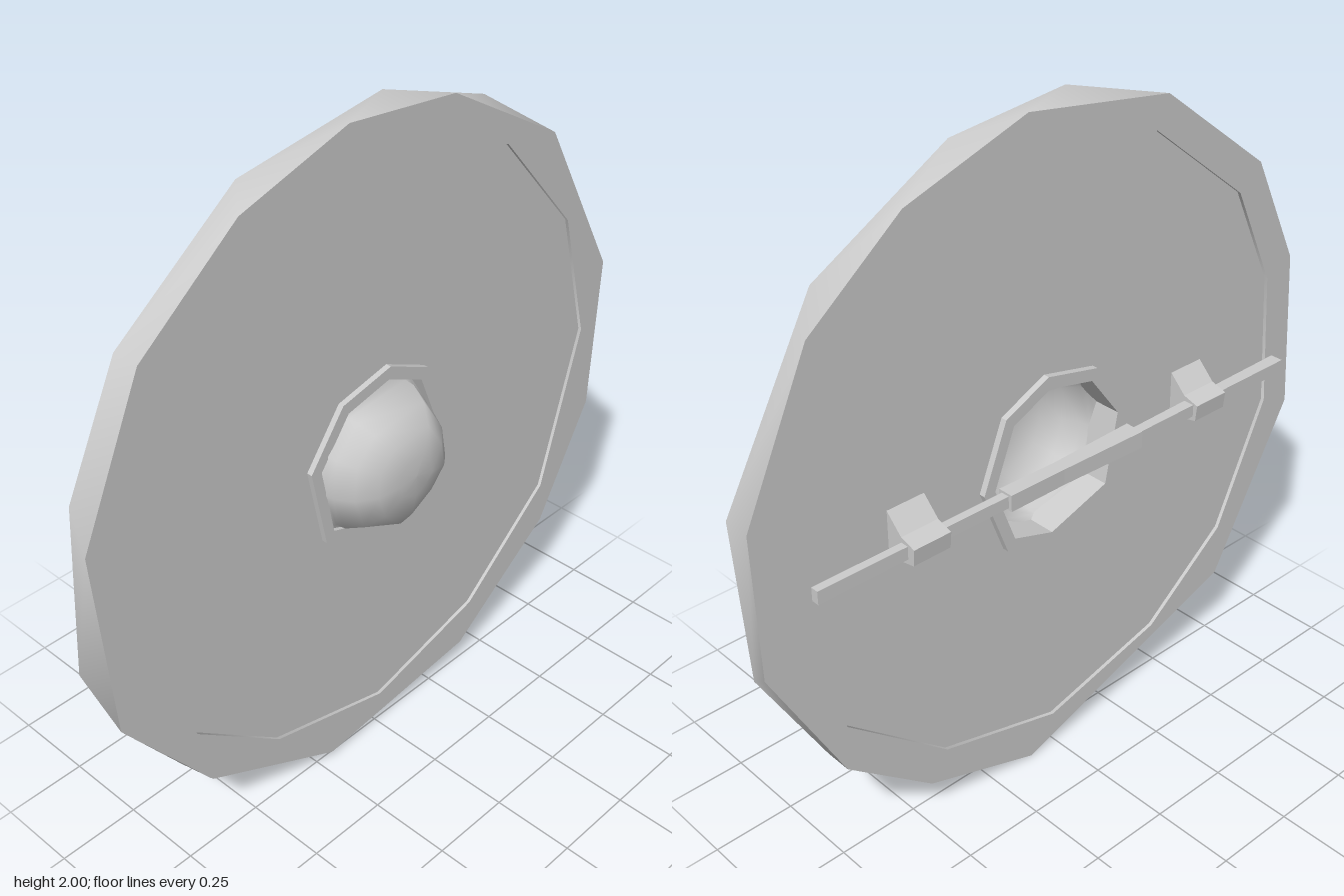
import * as THREE from 'three';

const steel = new THREE.MeshStandardMaterial({ color: 0xcccccc, side: THREE.DoubleSide });
steel.name = 'plain grey';

// Outlines run clockwise seen from the front, as [x, y]
const rimFront = [[-0.98, 1.21], [-0.78, 1.64], [-0.46, 1.89], [-0.1, 2], [0.28, 1.96], [0.7, 1.72], [0.985, 1.21],
  [0.96, 0.72], [0.76, 0.36], [0.38, 0.08], [-0.2, 0.015], [-0.66, 0.25], [-0.94, 0.63]];
const rimBack = [[-0.95, 1.3], [-0.78, 1.64], [-0.39, 1.93], [0.1, 2], [0.49, 1.87], [0.78, 1.64], [0.985, 1.21],
  [0.98, 0.78], [0.76, 0.36], [0.48, 0.13], [0.1, 0], [-0.7, 0.28], [-0.985, 0.8]];
const panelEdge = [[-0.35, 1.84], [0.08, 1.9], [0.5, 1.75], [0.79, 1.42], [0.9, 1.01], [0.75, 0.5], [0.42, 0.22],
  [0.01, 0.11], [-0.41, 0.22], [-0.7, 0.45], [-0.88, 0.84], [-0.85, 1.26], [-0.7, 1.57]];
const collarEdge = [[-0.14, 1.23], [0.04, 1.27], [0.19, 1.2], [0.27, 1], [0.19, 0.79], [0.03, 0.74], [-0.21, 0.82], [-0.26, 1.07]];
const domeEdge = [[-0.12, 1.18], [0.1, 1.2], [0.19, 1.06], [0.21, 0.94], [0.13, 0.85], [0, 0.78], [-0.17, 0.86], [-0.21, 0.98], [-0.2, 1.1]];

const scaled = (pts, s) => pts.map(([x, y]) => [x * s, 1 + (y - 1) * s]);
const at = (pts, z) => pts.map(([x, y]) => [x, y, z]);

// Skin between matching closed rings of points
function loft(rings) {
  const n = rings[0].length, index = [];
  for (let r = 0; r < rings.length - 1; r++) {
    for (let i = 0; i < n; i++) {
      const a = r * n + i, b = r * n + (i + 1) % n;
      index.push(a, b, a + n, b, b + n, a + n);
    }
  }
  const g = new THREE.BufferGeometry();
  g.setAttribute('position', new THREE.Float32BufferAttribute(rings.flat(2), 3));
  g.setIndex(index);
  g.computeVertexNormals();
  return g;
}

function shapeOf(outer, hole) {
  const toV = (p) => p.map(([x, y]) => new THREE.Vector2(x, y));
  const s = new THREE.Shape(toV(outer));
  if (hole) s.holes.push(new THREE.Path(toV(hole)));
  return s;
}

function plate(outer, hole, back, front) {
  return new THREE.ExtrudeGeometry(shapeOf(outer, hole), { depth: front - back, bevelEnabled: false }).translate(0, 0, back);
}

export function createModel() {
  const group = new THREE.Group();
  const add = (name, geometry) => {
    const m = new THREE.Mesh(geometry, steel);
    m.name = name;
    group.add(m);
    return m;
  };

  // Rim: outer band, front and back faces, inner lip
  const zF = 0.015, zB = -0.068;
  add('rimBand', loft([at(rimFront, zF), at(rimBack, zB)]));
  add('rimFrontFace', new THREE.ShapeGeometry(shapeOf(rimFront, panelEdge)).translate(0, 0, zF));
  const backFace = new THREE.ShapeGeometry(shapeOf(rimBack.map(([x, y]) => [-x, y]), panelEdge.map(([x, y]) => [-x, y])));
  add('rimBackFace', backFace.rotateY(Math.PI).translate(0, 0, zB));
  add('rimInnerLip', loft([at(panelEdge, zB), at(panelEdge, zF)]));

  // Slightly recessed board
  add('board', plate(panelEdge, scaled(collarEdge, 0.95), -0.057, 0.005));

  // Central collar and hollow dome
  add('collar', plate(collarEdge, scaled(collarEdge, 0.86), -0.076, 0.022));
  const domeProfile = [[0, 0.157], [0.3, 0.155], [0.62, 0.14], [0.86, 0.1], [0.99, 0.05], [1, 0.02], [1.12, 0.004]];
  add('dome', loft(domeProfile.map(([s, z]) => at(scaled(domeEdge, s), z))));

  // Grip bar: tapered square sections along x as [x, y, z, half height, half depth]
  function bar(name, sections) {
    const rings = sections.map(([x, y, z, h, d]) => [[x, y + h, z + d], [x, y + h, z - d], [x, y - h, z - d], [x, y - h, z + d]]);
    const g = loft([rings[0].map((p) => [p[0], sections[0][1], sections[0][2]]), ...rings,
      rings.at(-1).map((p) => [p[0], sections.at(-1)[1], sections.at(-1)[2]])]).toNonIndexed();
    g.computeVertexNormals();
    add(name, g);
  }
  bar('rightBar', [[-0.85, 1, -0.126, 0.02, 0.02], [-0.2, 1, -0.13, 0.018, 0.015]]);
  bar('leftBar', [[0.2, 1, -0.124, 0.018, 0.013], [0.85, 1, -0.121, 0.02, 0.012]]);
  bar('handGrip', [[-0.24, 1, -0.126, 0.026, 0.03], [0.05, 1, -0.126, 0.024, 0.022], [0.24, 1, -0.124, 0.025, 0.024]]);

  // Wedge brackets holding the bar: profile as [z, y]
  const wedge = shapeOf([[-0.055, 1.09], [-0.11, 1.035], [-0.16, 1.02], [-0.155, 0.97], [-0.055, 0.95]]);
  for (const x of [-0.52, 0.515]) {
    const g = new THREE.ExtrudeGeometry(wedge, { depth: 0.12, bevelEnabled: false });
    add(x < 0 ? 'rightBracket' : 'leftBracket', g.rotateY(-Math.PI / 2).scale(1, 1, 1).translate(x + 0.06, 0, 0));
  }
  return group;
}
